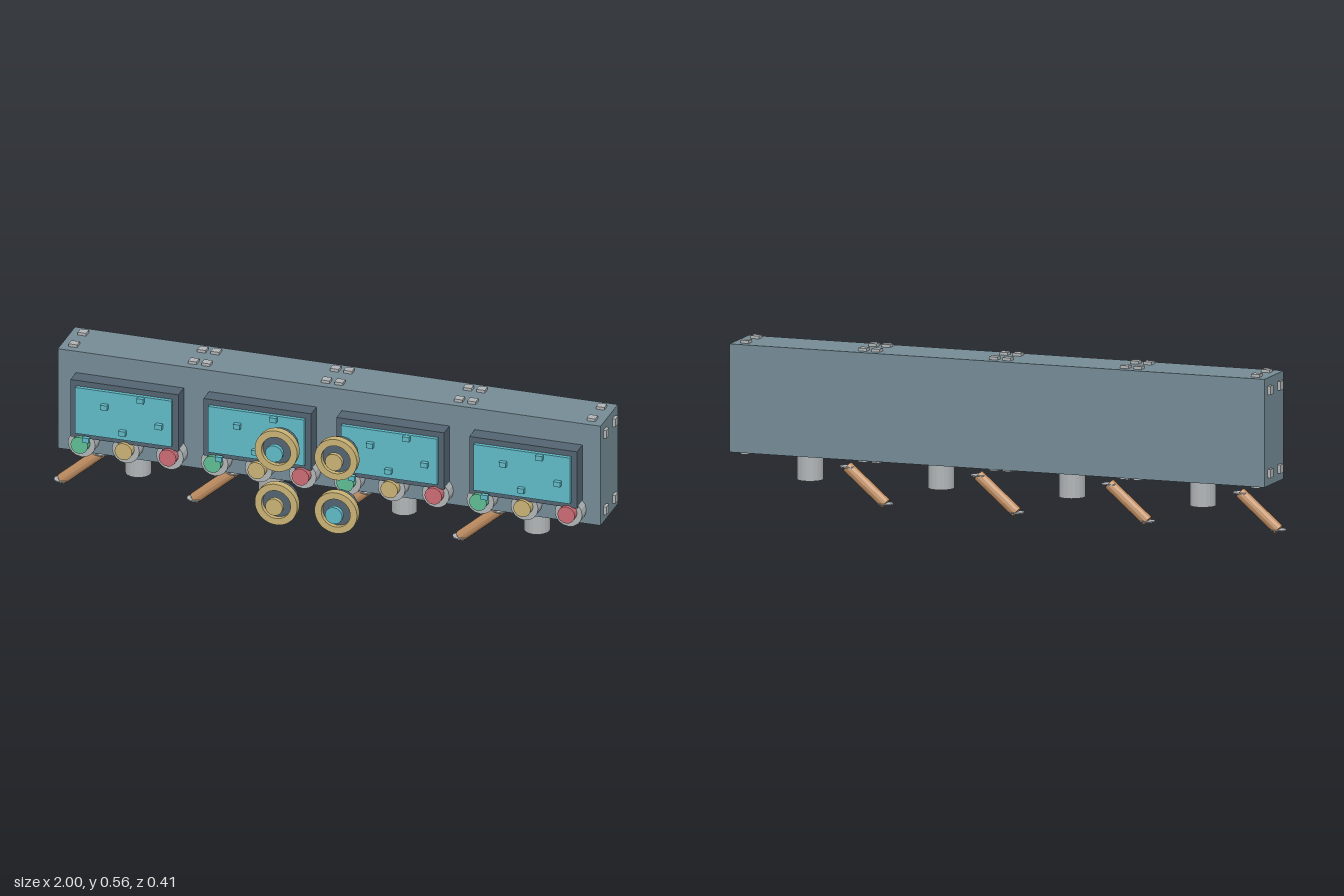
import * as THREE from 'three';

const mat = (name, color) => {
  const m = new THREE.MeshStandardMaterial({ color, flatShading: true });
  m.name = name;
  return m;
};

export function createModel() {
  const slate = mat('slate', 0x748a94);
  const dark = mat('dark slate', 0x526370);
  const teal = mat('teal', 0x5fb9c6);
  const brass = mat('brass', 0xc8b274);
  const copper = mat('copper', 0xc08e62);
  const steel = mat('steel', 0xb0b4b6);
  const green = mat('green', 0x5fbd93);
  const red = mat('red', 0xc96b72);

  const model = new THREE.Group();
  model.name = 'controlPanel';

  const add = (parent, name, geometry, material, x, y, z) => {
    const mesh = new THREE.Mesh(geometry, material);
    mesh.name = name;
    mesh.position.set(x, y, z);
    parent.add(mesh);
    return mesh;
  };
  const box = (parent, name, material, w, h, d, x, y, z) =>
    add(parent, name, new THREE.BoxGeometry(w, h, d), material, x, y, z);
  // cylinder lying along z, between two depths
  const disc = (parent, name, material, r, z0, z1, x, y) =>
    add(parent, name, new THREE.CylinderGeometry(r, r, z1 - z0, 16).rotateX(Math.PI / 2),
      material, x, y, (z0 + z1) / 2);

  // long cabinet
  const midY = 0.3615, midZ = -0.1115;
  box(model, 'cabinet', slate, 1.944, 0.373, 0.183, 0.016, midY, midZ);

  const bayX = [-0.698, -0.222, 0.254, 0.73];
  bayX.forEach((cx, n) => {
    const bay = new THREE.Group();
    bay.name = 'bay' + (n + 1);
    bay.position.x = cx;
    model.add(bay);

    // screen in its dark frame
    box(bay, 'screenFrame', dark, 0.386, 0.213, 0.06, 0, midY, 0.008);
    box(bay, 'screen', teal, 0.345, 0.172, 0.016, 0, midY, 0.044);
    for (let i = 0; i < 5; i++) {
      const row = (i * 3) % 5;
      box(bay, 'screenKey', teal, 0.024, 0.018, 0.016, -0.13 + i * 0.065, 0.261 + row * 0.044, 0.06);
    }

    // three push buttons on steel collars
    [green, brass, red].forEach((m, i) => {
      const x = (i - 1) * 0.158;
      disc(bay, 'buttonCollar', steel, 0.049, -0.022, 0.025, x, 0.226);
      disc(bay, 'button', m, 0.031, 0.02, 0.051, x, 0.231);
    });

    // bolts on top and underside
    for (const x of [-0.214, 0.214])
      for (const z of [-0.063, -0.16])
        for (const y of [0.548, 0.175])
          box(bay, 'bolt', steel, 0.03, 0.02, 0.03, x, y, z);

    // pipe stub underneath
    add(bay, 'pipeStub', new THREE.CylinderGeometry(0.045, 0.045, 0.1, 20), steel, 0, 0.133, midZ);

    // slanted lever with a thin washer at each end
    const top = new THREE.Vector3(-0.136, 0.135, midZ);
    const low = new THREE.Vector3(-0.275, 0.0155, midZ);
    const dir = top.clone().sub(low);
    const mid = top.clone().add(low).multiplyScalar(0.5);
    const rod = add(bay, 'lever', new THREE.CylinderGeometry(0.02, 0.02, dir.length(), 12),
      copper, mid.x, mid.y, mid.z);
    rod.quaternion.setFromUnitVectors(new THREE.Vector3(0, 1, 0), dir.normalize());
    for (const p of [top, low])
      add(bay, 'leverWasher', new THREE.CylinderGeometry(0.027, 0.027, 0.004, 16), steel, p.x, p.y, p.z);
  });

  // bolts on both cabinet ends
  for (const x of [-0.956, 0.988])
    for (const z of [-0.063, -0.16])
      for (const y of [0.505, 0.218])
        box(model, 'endBolt', steel, 0.022, 0.03, 0.03, x, y, z);

  // four dials in front: drum, brass rim and floating knob
  const rim = new THREE.Shape().absarc(0, 0, 0.076, 0, Math.PI * 2);
  rim.holes.push(new THREE.Path().absarc(0, 0, 0.052, 0, Math.PI * 2, true));
  const rimGeometry = new THREE.ExtrudeGeometry(rim, { depth: 0.027, bevelEnabled: false, curveSegments: 20 });
  for (const sx of [-1, 1])
    for (const y of [0.38, 0.18]) {
      const dial = new THREE.Group();
      dial.name = 'dial';
      dial.position.set(sx * 0.107, y, 0);
      model.add(dial);
      disc(dial, 'dialDrum', dark, 0.06, 0.115, 0.165, 0, 0);
      add(dial, 'dialRim', rimGeometry, brass, 0, 0, 0.155);
      disc(dial, 'dialKnob', (sx > 0) === (y > 0.3) ? brass : teal, 0.031, 0.189, 0.205, 0, 0);
    }

  return model;
}
